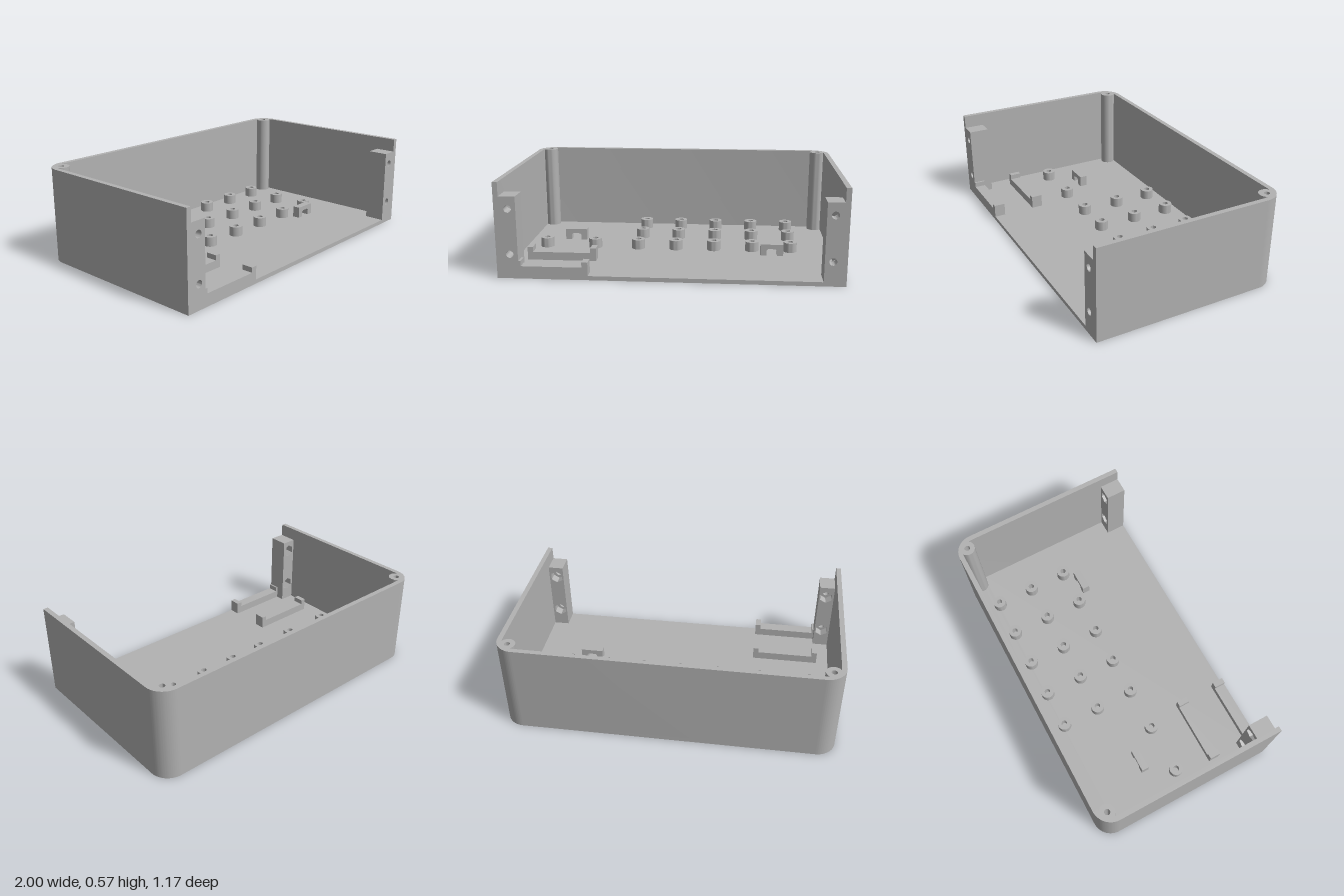
import * as THREE from 'three';
import { toCreasedNormals } from 'three/addons/utils/BufferGeometryUtils.js';

const W = 1, D = 0.585, H = 0.57;   // half width, half depth, height
const WALL = 0.03, FLOOR = 0.025, R = 0.115;

export function createModel() {
  const model = new THREE.Group();
  const grey = new THREE.MeshStandardMaterial({ color: 0xb2b2b2 });
  grey.name = 'grey plastic';

  const add = (name, geo) => {
    const mesh = new THREE.Mesh(geo, grey);
    mesh.name = name;
    model.add(mesh);
    return mesh;
  };
  const extrude = (shape, depth) => new THREE.ExtrudeGeometry(shape, { depth, bevelEnabled: false, curveSegments: 16 });
  // Plan shape (shape y = -z) raised from y0 to y1
  const rise = (shape, y0, y1) =>
    toCreasedNormals(extrude(shape, y1 - y0).rotateX(-Math.PI / 2).translate(0, y0, 0), 0.6);
  const box = (name, x0, x1, y0, y1, z0, z1) => add(name, new THREE.BoxGeometry(x1 - x0, y1 - y0, z1 - z0)
    .translate((x0 + x1) / 2, (y0 + y1) / 2, (z0 + z1) / 2));

  // Floor: square at the front, rounded at the back
  const floor = new THREE.Shape();
  floor.moveTo(-W, -D).lineTo(W, -D).lineTo(W, D - R);
  floor.absarc(W - R, D - R, R, 0, Math.PI / 2);
  floor.absarc(-W + R, D - R, R, Math.PI / 2, Math.PI);
  floor.closePath();
  add('floor', rise(floor, 0, FLOOR));

  // U-shaped wall around the sides and back
  const wall = new THREE.Shape();
  wall.moveTo(W - WALL, -D).lineTo(W, -D).lineTo(W, D - R);
  wall.absarc(W - R, D - R, R, 0, Math.PI / 2);
  wall.absarc(-W + R, D - R, R, Math.PI / 2, Math.PI);
  wall.lineTo(-W, -D).lineTo(-W + WALL, -D).lineTo(-W + WALL, D - R);
  wall.absarc(-W + R, D - R, R - WALL, Math.PI, Math.PI / 2, true);
  wall.absarc(W - R, D - R, R - WALL, Math.PI / 2, 0, true);
  wall.closePath();
  add('wall', rise(wall, FLOOR, H));

  // Hollow round pillars
  const pillar = (name, x, z, r, hole, top) => {
    const ring = new THREE.Shape().absarc(0, 0, r, 0, Math.PI * 2);
    ring.holes.push(new THREE.Path().absarc(0, 0, hole, 0, Math.PI * 2, true));
    add(name, rise(ring, FLOOR, top)).position.set(x, 0, z);
  };
  for (const s of [-1, 1]) pillar('cornerPost', s * 0.928, -0.515, 0.048, 0.017, H);

  // Circuit board standoffs
  const spots = [[-0.84, 0.025], [-0.525, 0.025]];
  for (const x of [-0.245, -0.003, 0.24, 0.483, 0.725])
    for (const z of [-0.462, -0.22, 0.025]) spots.push([x, z]);
  for (const [x, z] of spots) pillar('standoff', x, z, 0.042, 0.018, 0.086);

  // Front screw blocks: round holes in front, hexagonal nut pockets behind
  const blockSlice = (s, radius, sides, z0, z1) => {
    const a = s * 0.873, b = s * (W - WALL), cx = s * 0.92;
    const shape = new THREE.Shape();
    shape.moveTo(a, FLOOR).lineTo(b, FLOOR).lineTo(b, 0.488).lineTo(a, 0.488).closePath();
    for (const cy of [0.146, 0.415]) {
      const pts = [];
      for (let i = 0; i < sides; i++) {
        const t = (i / sides) * Math.PI * 2 + Math.PI / 2;
        pts.push(new THREE.Vector2(cx + radius * Math.cos(t), cy + radius * Math.sin(t)));
      }
      shape.holes.push(new THREE.Path(pts));
    }
    const geo = extrude(shape, z1 - z0).translate(0, 0, z0);
    return sides > 6 ? toCreasedNormals(geo, 0.6) : geo;
  };
  for (const s of [-1, 1]) {
    add('screwBlockFront', blockSlice(s, 0.022, 24, 0.52, D));
    add('screwBlockNutPocket', blockSlice(s, 0.043, 6, 0.46, 0.52));
  }

  // Cradle rails with a raised lip at each end
  for (const z of [0.245, D - 0.07]) {
    box('cradleRail', -0.86, -0.505, FLOOR, 0.075, z, z + 0.07);
    box('cradleLip', -0.893, -0.86, FLOOR, 0.106, z, z + 0.07);
    box('cradleLip', -0.505, -0.47, FLOOR, 0.106, z, z + 0.07);
  }

  // Cable tie arches
  const arch = new THREE.Shape();
  arch.moveTo(-0.071, FLOOR).lineTo(-0.033, FLOOR).lineTo(-0.033, 0.058).lineTo(-0.023, 0.068)
    .lineTo(0.023, 0.068).lineTo(0.033, 0.058).lineTo(0.033, FLOOR).lineTo(0.071, FLOOR)
    .lineTo(0.071, 0.097).lineTo(-0.071, 0.097).closePath();
  for (const [x, z] of [[-0.682, -0.147], [0.605, 0.107]])
    add('cableArch', extrude(arch, 0.048)).position.set(x, 0, z - 0.024);

  return model;
}
